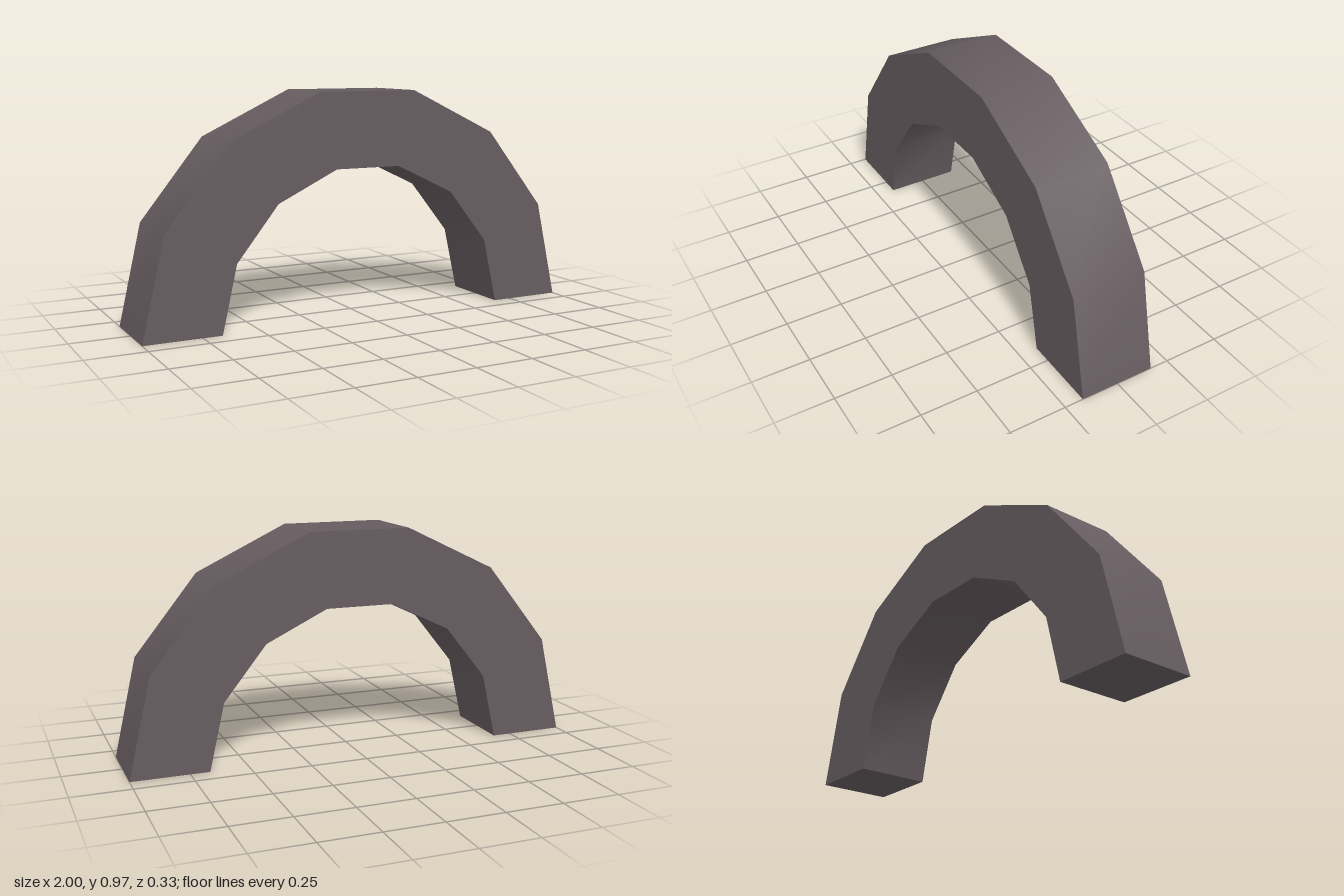
import * as THREE from 'three';
import { toCreasedNormals } from 'three/addons/utils/BufferGeometryUtils.js';

const SEGMENTS = 7;
const OUTER = 1;
const INNER = 2 / 3;
const DEPTH = 1 / 3;

// Points along a half circle, from +x over the top to -x
function halfCircle(radius) {
  return Array.from({ length: SEGMENTS + 1 }, (_, i) => {
    const a = (Math.PI * i) / SEGMENTS;
    return new THREE.Vector2(radius * Math.cos(a), radius * Math.sin(a));
  });
}

export function createModel() {
  const group = new THREE.Group();
  group.name = 'archModel';

  const stone = new THREE.MeshStandardMaterial({ color: 0x665c60 });
  stone.name = 'dark stone';

  // Arch band: outer curve, then back along the inner curve
  const profile = new THREE.Shape([...halfCircle(OUTER), ...halfCircle(INNER).reverse()]);
  const band = new THREE.ExtrudeGeometry(profile, { depth: DEPTH, bevelEnabled: false });
  band.translate(0, 0, -DEPTH / 2);

  // Smooth around the curve, sharp at the faces and feet
  const arch = new THREE.Mesh(toCreasedNormals(band, 0.6), stone);
  arch.name = 'arch';
  group.add(arch);

  return group;
}
